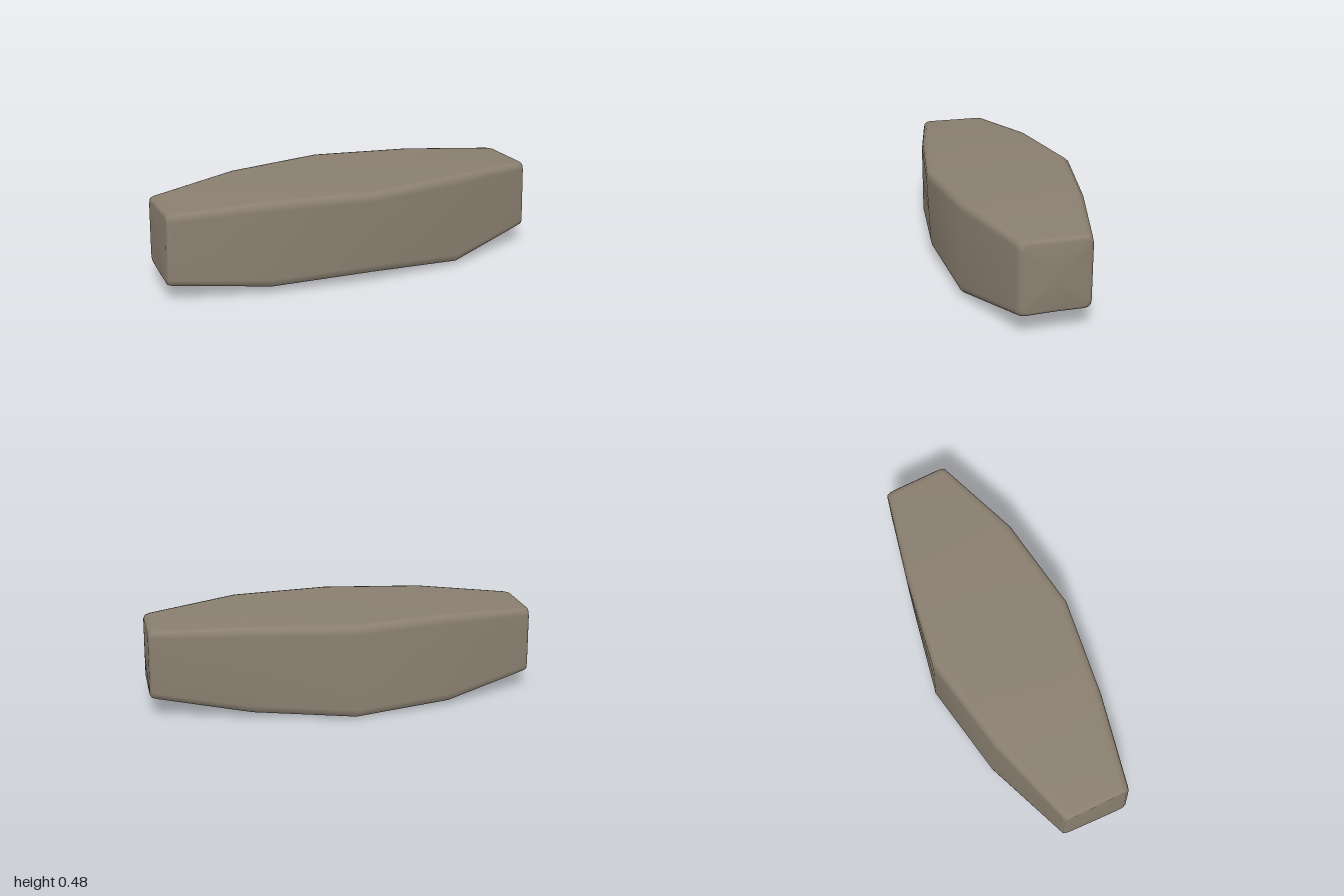
import * as THREE from 'three';

// Corner rings along x: front-bottom, back-bottom, back-top, front-top as [x, y, z];
// "belly" is the height of the middle of the underside.
const SECTIONS = [
  { belly: 0.085, corners: [[-0.975, 0.085, 0.2], [-0.955, 0.09, -0.165], [-0.95, 0.44, -0.165], [-0.96, 0.44, 0.19]] },
  { belly: 0.03, corners: [[-0.5, 0.035, 0.3], [-0.5, 0.02, -0.315], [-0.5, 0.477, -0.29], [-0.5, 0.475, 0.3]] },
  { belly: 0.003, corners: [[0, 0.05, 0.365], [0, 0.003, -0.385], [0, 0.48, -0.372], [0, 0.477, 0.385]] },
  { belly: 0.025, corners: [[0.5, 0.015, 0.338], [0.5, 0.03, -0.272], [0.5, 0.477, -0.28], [0.5, 0.483, 0.328]] },
  { belly: 0.1, corners: [[0.955, 0.095, 0.2], [0.955, 0.1, -0.16], [0.95, 0.455, -0.165], [0.95, 0.455, 0.19]] },
];

// Rounds the four corners of a section and adds a middle point on every side
function roundedRing({ corners, belly }, radius) {
  const c = corners.map((p) => new THREE.Vector3(...p));
  const ring = [];
  c.forEach((p, i) => {
    const next = c[(i + 1) % 4];
    const toward = (q) => p.clone().add(q.clone().sub(p).setLength(radius));
    const a = toward(c[(i + 3) % 4]);
    const b = toward(next);
    const curve = new THREE.QuadraticBezierCurve3(a, p, b);
    ring.push(...curve.getPoints(3));
    const mid = p.clone().lerp(next, 0.5);
    if (i === 0) mid.y = belly;
    ring.push(mid);
  });
  return ring;
}

const centreOf = (ring) =>
  ring.reduce((sum, p) => sum.add(p), new THREE.Vector3()).divideScalar(ring.length);

// Shrinks an end ring toward its centre and pushes it outward
function insetRing(ring, scale, push) {
  const centre = centreOf(ring);
  return ring.map((p) => {
    const q = p.clone();
    q.y = centre.y + (p.y - centre.y) * scale;
    q.z = centre.z + (p.z - centre.z) * scale;
    q.x += push;
    return q;
  });
}

function stoneGeometry() {
  const body = SECTIONS.map((s, i) => roundedRing(s, i === 0 || i === 4 ? 0.035 : 0.045));
  const first = body[0];
  const last = body[body.length - 1];
  const rings = [
    insetRing(first, 0.88, -0.027),
    insetRing(first, 0.965, -0.02),
    ...body,
    insetRing(last, 0.965, 0.026),
    insetRing(last, 0.88, 0.036),
  ];
  const n = first.length;
  const points = rings.flat();
  const index = [];

  // Sides
  for (let i = 0; i < rings.length - 1; i++) {
    for (let j = 0; j < n; j++) {
      const k = (j + 1) % n;
      const a = i * n + j, b = i * n + k, c = b + n, d = a + n;
      index.push(a, b, c, a, c, d);
    }
  }

  // End faces
  const base = (rings.length - 1) * n;
  const left = points.push(centreOf(rings[0])) - 1;
  const tip = centreOf(rings[rings.length - 1]);
  tip.x += 0.008;
  const right = points.push(tip) - 1;
  for (let j = 0; j < n; j++) {
    const k = (j + 1) % n;
    index.push(left, k, j, right, base + j, base + k);
  }

  const geometry = new THREE.BufferGeometry().setFromPoints(points);
  geometry.setIndex(index);
  geometry.computeVertexNormals();
  return geometry;
}

export function createModel() {
  const group = new THREE.Group();
  group.name = 'rock';
  const stone = new THREE.MeshStandardMaterial({ color: 0x8a7f70 });
  stone.name = 'warm grey stone';
  const mesh = new THREE.Mesh(stoneGeometry(), stone);
  mesh.name = 'stone';
  group.add(mesh);
  return group;
}
